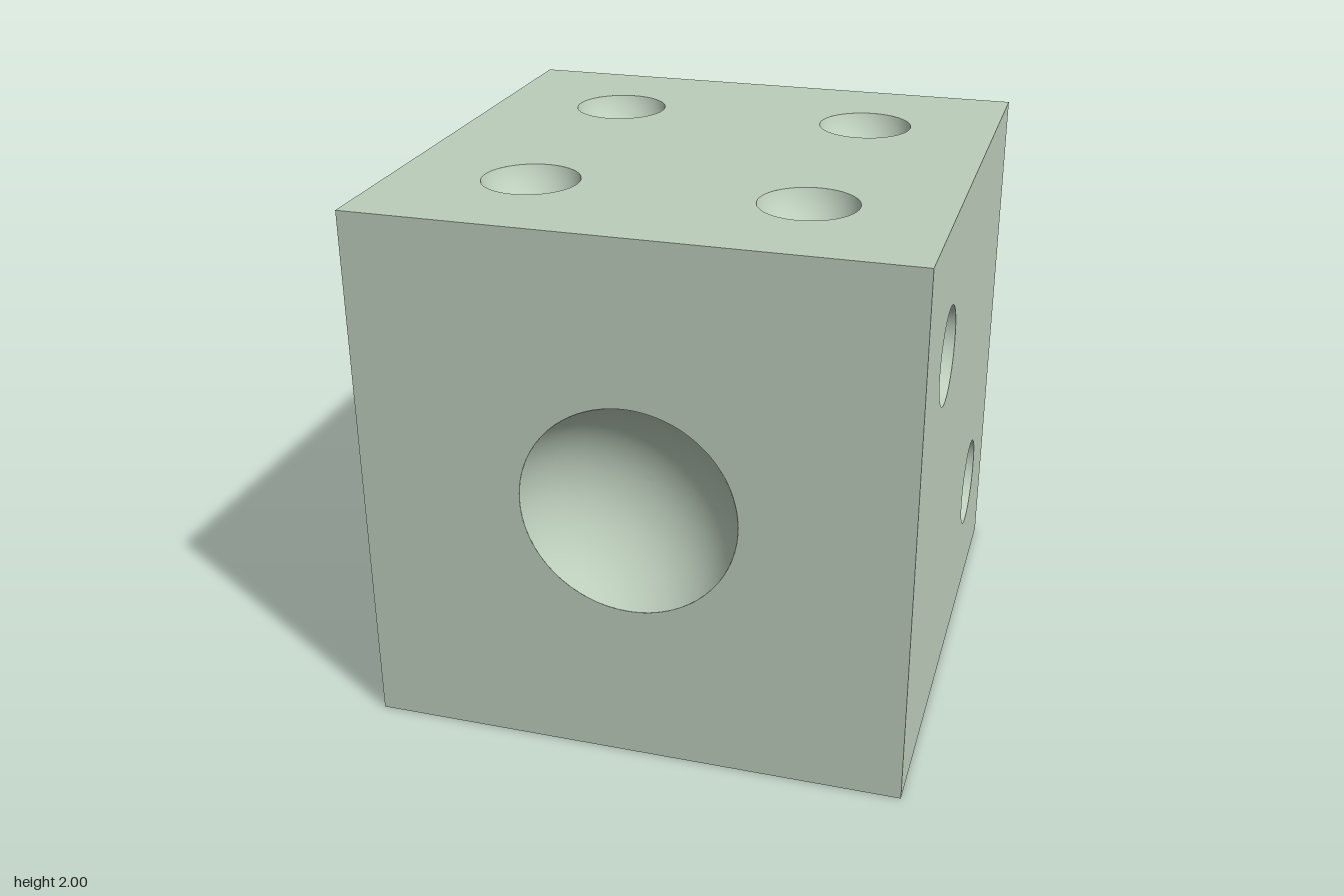
import * as THREE from 'three';

const SEGMENTS = 64;
const material = new THREE.MeshStandardMaterial({ color: 0xbccdbb });

// Spherical dimples: sphere radius and how far its centre sits above the face
const SMALL = { radius: 0.1875, offset: 0.0625 };
const BIG = { radius: 0.4375, offset: 0.1875 };
const rimRadius = (d) => Math.sqrt(d.radius ** 2 - d.offset ** 2);

// Concave bowl opening towards +z, with its rim on z = 0
function bowlGeometry(d) {
  const rimAngle = Math.acos(d.offset / d.radius);
  const profile = [];
  for (let i = 0; i <= 20; i++) {
    const a = rimAngle * (1 - i / 20);
    profile.push(new THREE.Vector2(d.radius * Math.sin(a), d.offset - d.radius * Math.cos(a)));
  }
  return new THREE.LatheGeometry(profile, SEGMENTS).rotateX(Math.PI / 2);
}

// One side of the cube: a square with round holes, and a bowl in each hole
function createFace(name, dimple, spots) {
  const face = new THREE.Group();
  face.name = name;
  const shape = new THREE.Shape([[-1, -1], [1, -1], [1, 1], [-1, 1]].map(([x, y]) => new THREE.Vector2(x, y)));
  const bowl = bowlGeometry(dimple);
  for (const [x, y] of spots) {
    shape.holes.push(new THREE.Path().absarc(x, y, rimRadius(dimple), 0, Math.PI * 2, true));
    const pip = new THREE.Mesh(bowl, material);
    pip.name = 'pip';
    pip.position.set(x, y, 0);
    face.add(pip);
  }
  const panel = new THREE.Mesh(new THREE.ShapeGeometry(shape, SEGMENTS), material);
  panel.name = 'panel';
  face.add(panel);
  return face;
}

export function createModel() {
  const die = new THREE.Group();
  die.name = 'die';
  const h = 0.5, w = 0.625, q = Math.PI / 2;

  // Name, dimple, turn about x, turn about y, pip centres seen from outside
  const faces = [
    ['frontFace', BIG, 0, 0, [[0, 0]]],
    ['leftFace', SMALL, 0, q, [[-h, h], [h, -h]]],
    ['bottomFace', SMALL, q, 0, [[w, -w], [0, 0], [-w, w]]],
    ['topFace', SMALL, -q, 0, [[-h, -h], [h, -h], [-h, h], [h, h]]],
    ['rightFace', SMALL, 0, -q, [[-w, -w], [w, -w], [0, 0], [-w, w], [w, w]]],
    ['backFace', SMALL, 0, 2 * q, [[-w, -h], [0, -h], [w, -h], [-w, h], [0, h], [w, h]]],
  ];
  for (const [name, dimple, rx, ry, spots] of faces) {
    const face = createFace(name, dimple, spots);
    face.rotation.set(rx, ry, 0);
    face.position.set(0, 1, 0);
    face.translateZ(1);
    die.add(face);
  }
  return die;
}
